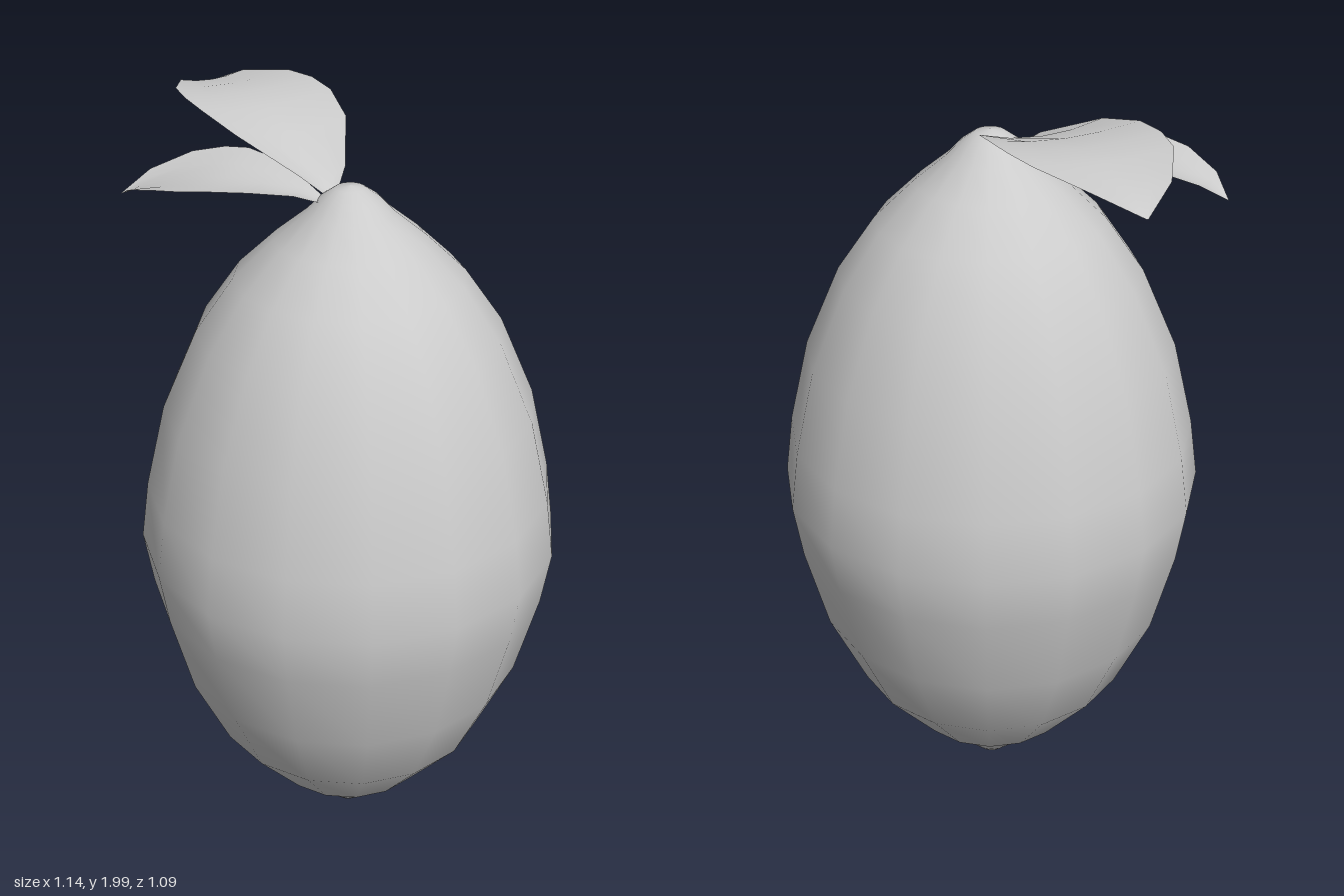
import * as THREE from 'three';

const skin = new THREE.MeshStandardMaterial({ color: 0xcccccc });
const leafMaterial = new THREE.MeshStandardMaterial({ color: 0xcccccc, side: THREE.DoubleSide });

// Radius and height of the fruit, from the bottom tip to the stem end
const fruitProfile = [
  [0, 0.005], [0.036, 0.012], [0.07, 0.045], [0.11, 0.09], [0.22, 0.18],
  [0.37, 0.36], [0.465, 0.57], [0.523, 0.8], [0.545, 0.945], [0.523, 1.1],
  [0.47, 1.32], [0.38, 1.525], [0.285, 1.66], [0.185, 1.755], [0.105, 1.82],
  [0.072, 1.855], [0.036, 1.88], [0, 1.886],
];

// Leaf swept along a straight ground line from base to tip.
// Each station: [fraction of length, half width, midrib height, edge height]
function makeLeaf(name, base, tip, stations, tilt) {
  const columns = 4;
  const start = new THREE.Vector2(...base);
  const along = new THREE.Vector2(...tip).sub(start);
  const side = new THREE.Vector2(-along.y, along.x).normalize();
  const positions = [];
  const index = [];
  stations.forEach(([f, half, mid, edge], row) => {
    for (let c = 0; c <= columns; c++) {
      const s = (c / columns) * 2 - 1;
      const p = start.clone().addScaledVector(along, f).addScaledVector(side, s * half);
      positions.push(p.x, mid + (edge - mid) * s * s + tilt * s * half, p.y);
      if (row > 0 && c > 0) {
        const d = row * (columns + 1) + c;
        const b = d - columns - 1;
        index.push(b - 1, b, d - 1, b, d, d - 1);
      }
    }
  });
  // Wind the faces so the upper side is the front
  for (let i = 0; i < index.length; i += 3) {
    [index[i + 1], index[i + 2]] = [index[i + 2], index[i + 1]];
  }
  const geometry = new THREE.BufferGeometry();
  geometry.setAttribute('position', new THREE.Float32BufferAttribute(positions, 3));
  geometry.setIndex(index);
  geometry.computeVertexNormals();
  const leaf = new THREE.Mesh(geometry, leafMaterial);
  leaf.name = name;
  return leaf;
}

export function createModel() {
  const model = new THREE.Group();
  model.name = 'citrusFruit';

  // Fruit body with its two nubs
  const points = fruitProfile.map(([r, y]) => new THREE.Vector2(r, y));
  const fruit = new THREE.Mesh(new THREE.LatheGeometry(points, 16), skin);
  fruit.name = 'fruit';
  fruit.position.x = 0.025;
  model.add(fruit);

  // Large leaf, reaching to the back right
  model.add(makeLeaf('largeLeaf', [-0.03, -0.02], [-0.545, -0.51], [
    [0, 0.02, 1.85, 1.855],
    [0.06, 0.065, 1.875, 1.895],
    [0.27, 0.152, 1.94, 1.963],
    [0.45, 0.18, 1.975, 1.992],
    [0.59, 0.18, 1.985, 1.998],
    [0.72, 0.162, 1.983, 1.995],
    [0.9, 0.09, 1.96, 1.972],
    [1, 0.002, 1.93, 1.93],
  ], 0));

  // Small leaf, reaching to the right and drooping at the tip
  model.add(makeLeaf('smallLeaf', [-0.03, 0.02], [-0.57, -0.005], [
    [0, 0.012, 1.843, 1.845],
    [0.12, 0.045, 1.86, 1.87],
    [0.29, 0.1, 1.872, 1.89],
    [0.46, 0.133, 1.876, 1.896],
    [0.58, 0.138, 1.87, 1.89],
    [0.73, 0.12, 1.855, 1.876],
    [0.9, 0.065, 1.825, 1.842],
    [1, 0.002, 1.798, 1.798],
  ], 0.08));

  return model;
}
